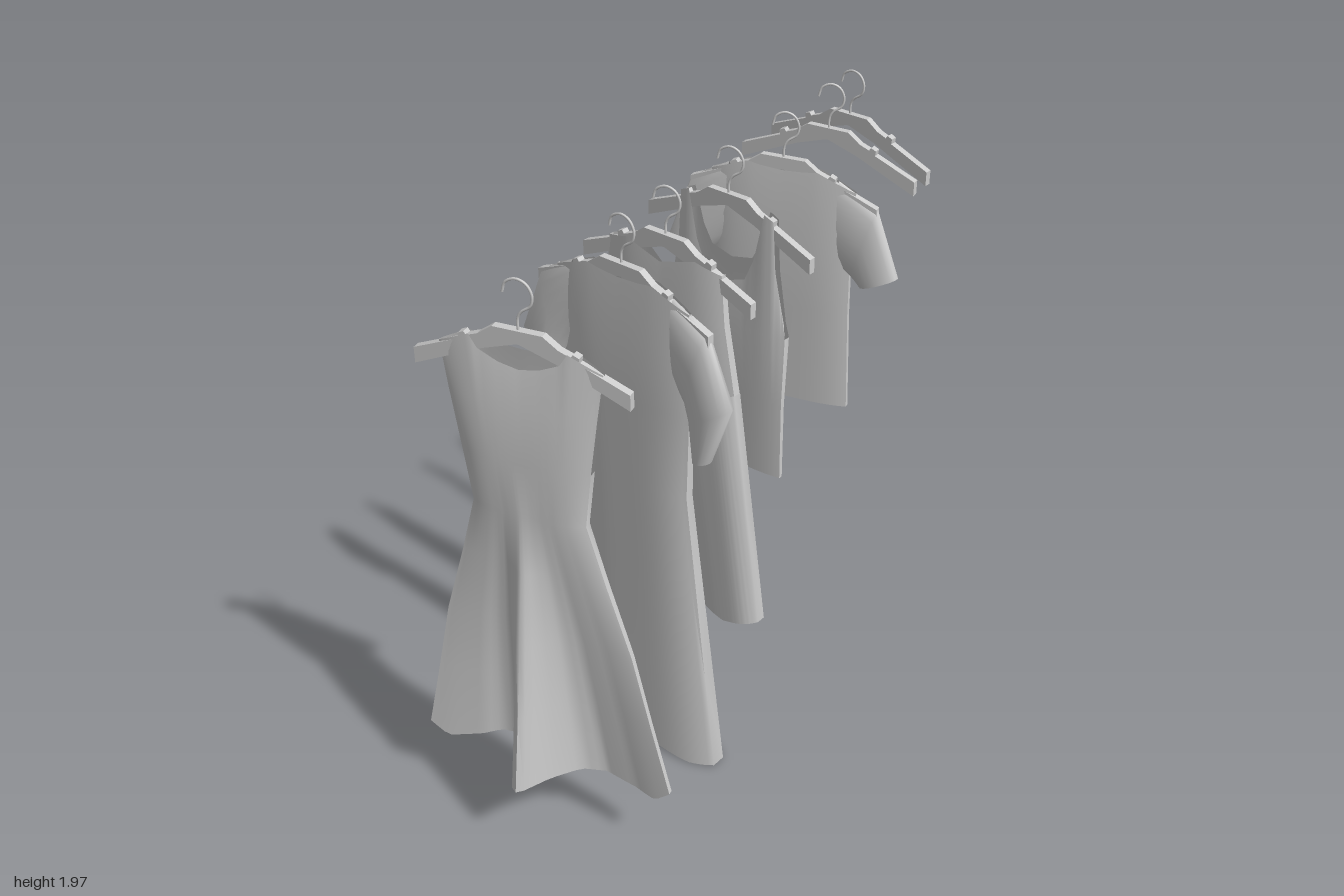
import * as THREE from 'three';
import { toCreasedNormals } from 'three/addons/utils/BufferGeometryUtils.js';

const grey = new THREE.MeshStandardMaterial({ color: 0xcccccc, side: THREE.DoubleSide });

function add(parent, name, geometry) {
  const mesh = new THREE.Mesh(geometry, grey);
  mesh.name = name;
  parent.add(mesh);
  return mesh;
}

// Piecewise-linear lookup in [[u, value], ...]
function lookup(table, u) {
  for (let i = 1; i < table.length; i++) {
    const [a, va] = table[i - 1], [b, vb] = table[i];
    if (u <= b) return va + (vb - va) * (u - a) / (b - a);
  }
  return table[table.length - 1][1];
}

// Skin between closed rings of points; skip(row, column) leaves a hole
function loft(rings, skip = () => false) {
  const n = rings[0].length, index = [];
  for (let r = 0; r < rings.length - 1; r++) {
    for (let i = 0; i < n; i++) {
      if (skip(r, i)) continue;
      const j = (i + 1) % n, a = r * n + i, b = a + n, c = (r + 1) * n + j, d = r * n + j;
      index.push(a, b, c, a, c, d);
    }
  }
  const geometry = new THREE.BufferGeometry();
  geometry.setAttribute('position', new THREE.Float32BufferAttribute(rings.flat(2), 3));
  geometry.setIndex(index);
  return toCreasedNormals(geometry, 1);
}

// Front and back cloth panels. Rows: [y, halfWidth, halfDepth, zCentre, xCentre]
// front/back are neckline tables over |u|, hem is a table for the lowest row
function cloth(rows, { front, back = front, hem, fold, openRows = 0 }) {
  const n = 40, last = rows.length - 1;
  const rings = rows.map(([y, w, d, zc = 0, xc = 0], r) => {
    const ring = [];
    for (const side of [1, -1]) {
      for (let i = 0; i <= n; i++) {
        const u = side * (i / n * 2 - 1), m = Math.abs(u);
        let py = y;
        if (r === 0 && front) py = lookup(side > 0 ? front : back, m);
        if (r === last && hem) py = lookup(hem, m);
        const pz = zc + side * d * (0.3 + 0.7 * (1 - u ** 4)) + (fold ? fold(u, y) : 0);
        ring.push([xc + w * u, py, pz]);
      }
    }
    return ring;
  });
  return loft(rings, (r, i) => r < openRows && (i === n || i === 2 * n + 1));
}

// Sleeve rings: [innerX, innerY, outerX, outerY, halfDepth]
function sleeves(parent, sections) {
  for (const s of [1, -1]) {
    const rings = sections.map(([ix, iy, ox, oy, d]) => Array.from({ length: 16 }, (_, k) => {
      const a = k / 16 * Math.PI * 2, t = (1 + Math.cos(a)) / 2;
      return [s * (ix + (ox - ix) * t), iy + (oy - iy) * t, d * Math.sin(a)];
    }));
    add(parent, s > 0 ? 'leftSleeve' : 'rightSleeve', loft(rings));
  }
}

// Wooden hanger outline (half), mirrored, with a wire hook
const half = [[0.075, 1.825], [0.12, 1.793], [0.155, 1.78], [0.162, 1.79], [0.18, 1.782], [0.178, 1.765],
  [0.324, 1.705], [0.324, 1.656], [0.11, 1.75], [0.004, 1.785]];
function hanger(parent, hookTurn) {
  const points = [...half, ...half.map(([x, y]) => [-x, y]).reverse()];
  const shape = new THREE.Shape(points.map(([x, y]) => new THREE.Vector2(x, y)));
  const body = new THREE.ExtrudeGeometry(shape, { depth: 0.024, bevelEnabled: false });
  add(parent, 'hangerBody', body.translate(0, 0, -0.012));
  const path = [[0, 1.8], [0, 1.86], [0.012, 1.88], [0.038, 1.9], [0.045, 1.93], [0.03, 1.962],
    [0, 1.974], [-0.03, 1.96], [-0.04, 1.93]];
  const curve = new THREE.CatmullRomCurve3(path.map(([x, y]) => new THREE.Vector3(x, y, 0)));
  add(parent, 'hangerHook', new THREE.TubeGeometry(curve, 32, 0.004, 8)).rotation.y = hookTurn;
}

// Sleeveless flared dress with one deep fold forward and two back
const skirtFold = [[-1, 0], [-0.6, -0.06], [-0.47, -0.095], [-0.33, -0.095], [-0.2, 0.02], [-0.1, 0.135],
  [-0.05, 0.15], [0, 0.135], [0.12, 0.05], [0.28, -0.03], [0.45, -0.055], [0.7, -0.04], [1, 0]];
function flaredDress(g) {
  add(g, 'flaredDress', cloth([
    [1.75, 0.245, 0.016], [1.6, 0.225, 0.036], [1.42, 0.2, 0.042], [1.24, 0.178, 0.038],
    [1.05, 0.23, 0.034], [0.8, 0.305, 0.03], [0.55, 0.36, 0.028], [0.28, 0.42, 0.028],
  ], {
    front: [[0, 1.71], [0.25, 1.722], [0.5, 1.75], [0.6, 1.788], [1, 1.743]],
    back: [[0, 1.755], [0.4, 1.762], [0.65, 1.785], [1, 1.743]],
    hem: [[0, 0.285], [0.5, 0.265], [0.87, 0.237], [1, 0.29]],
    fold: (u, y) => Math.max(0, (1.24 - y) / 0.96) * lookup(skirtFold, u),
    openRows: 2,
  }));
}

// Long dress with elbow sleeves
function longDress(g) {
  add(g, 'longDress', cloth([
    [1.75, 0.25, 0.018], [1.6, 0.24, 0.032, -0.002], [1.4, 0.245, 0.038, -0.012],
    [1.1, 0.225, 0.048, -0.026], [0.8, 0.245, 0.057, -0.043], [0.4, 0.275, 0.07, -0.062],
    [0.02, 0.305, 0.082, -0.08],
  ], {
    front: [[0, 1.785], [0.3, 1.79], [0.48, 1.797], [1, 1.745]],
    hem: [[0, 0.028], [0.4, 0.026], [0.75, 0.008], [1, 0.012]],
  }));
  sleeves(g, [[0.2, 1.5, 0.19, 1.775, 0.025], [0.235, 1.45, 0.315, 1.705, 0.036],
    [0.25, 1.4, 0.402, 1.49, 0.042], [0.262, 1.265, 0.325, 1.28, 0.026]]);
}

// Trousers hung at the waist
function trousers(g) {
  add(g, 'trouserSeat', cloth([
    [1.76, 0.215, 0.03], [1.6, 0.23, 0.04], [1.36, 0.248, 0.045, -0.012, 0.015],
  ], { front: [[0, 1.745], [0.6, 1.785], [1, 1.76]], back: [[0, 1.67], [0.6, 1.785], [1, 1.76]] }));
  for (const s of [1, -1]) {
    add(g, s > 0 ? 'leftLeg' : 'rightLeg', cloth([
      [1.37, 0.124, 0.045, -0.012, 0.015 + s * 0.124],
      [0.95, 0.12, 0.049, -0.028, 0.022 + s * 0.165],
      [0.51, 0.118, 0.053, -0.045, 0.028 + s * 0.205],
    ], { hem: [[0, 0.495], [1, 0.525]] }));
  }
}

// Tank top with narrow straps
function tankTop(g) {
  add(g, 'tankTop', cloth([
    [1.5, 0.23, 0.018], [1.4, 0.24, 0.036], [1.15, 0.232, 0.026], [0.87, 0.235, 0.022],
  ], {
    front: [[0, 1.53], [0.35, 1.56], [0.5, 1.64], [0.65, 1.8], [0.8, 1.785], [0.85, 1.62], [1, 1.45]],
    back: [[0, 1.6], [0.35, 1.62], [0.5, 1.68], [0.65, 1.8], [0.8, 1.785], [0.85, 1.62], [1, 1.45]],
    openRows: 1,
  }));
}

// T-shirt with short sleeves
function tShirt(g) {
  add(g, 'shirtBody', cloth([
    [1.75, 0.25, 0.018], [1.6, 0.242, 0.032], [1.3, 0.242, 0.03, -0.013], [0.935, 0.252, 0.028, -0.026],
  ], { front: [[0, 1.785], [0.3, 1.79], [0.48, 1.797], [1, 1.745]] }));
  sleeves(g, [[0.2, 1.48, 0.19, 1.775, 0.022], [0.245, 1.45, 0.325, 1.7, 0.03],
    [0.28, 1.415, 0.408, 1.475, 0.03]]);
}

export function createModel() {
  const model = new THREE.Group();
  // [name, z, turn, hook turn, garment]
  const rail = [
    ['flaredDressOnHanger', 0.825, 0.19, 0.05, flaredDress],
    ['longDressOnHanger', 0.365, -0.1, 0.1, longDress],
    ['trousersOnHanger', 0.145, -0.1, 0.3, trousers],
    ['tankTopOnHanger', -0.195, -0.12, 0.3, tankTop],
    ['shirtOnHanger', -0.52, 0.16, 0.2, tShirt],
    ['emptyHangerFront', -0.81, 0.045, 0.3],
    ['emptyHangerBack', -0.955, -0.11, 0.11],
  ];
  for (const [name, z, turn, hookTurn, garment] of rail) {
    const g = new THREE.Group();
    g.name = name;
    g.position.set(0.004, 0, z);
    g.rotation.y = turn;
    hanger(g, hookTurn);
    if (garment) garment(g);
    model.add(g);
  }
  return model;
}
